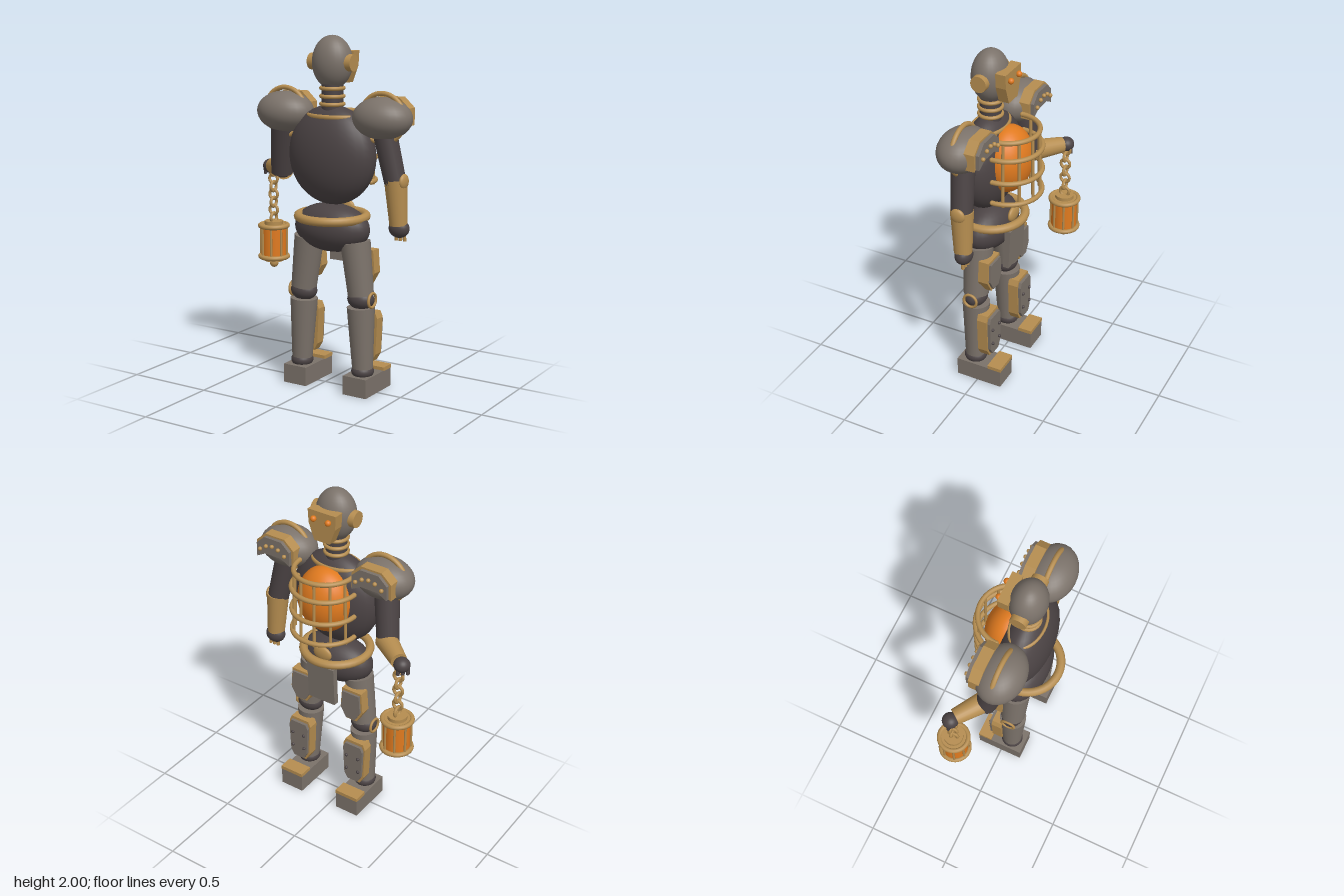
import * as THREE from 'three';

const mat = (name, color) => Object.assign(new THREE.MeshStandardMaterial({ color }), { name });

export function createModel() {
  const root = new THREE.Group();
  root.name = 'lanternAutomaton';
  const gold = mat('brass', 0xb58d50), grey = mat('steel', 0x7b726a);
  const dark = mat('darkIron', 0x4b4344), orange = mat('glow', 0xe07a1f);
  const CX = 0.075, CZ = 0.045; // body axis

  const add = (name, geo, m, x = 0, y = 0, z = 0) => {
    const mesh = new THREE.Mesh(geo, m);
    mesh.name = name;
    mesh.position.set(x, y, z);
    root.add(mesh);
    return mesh;
  };
  const ball = (name, m, x, y, z, rx, ry = rx, rz = rx) =>
    add(name, new THREE.SphereGeometry(1, 28, 20).scale(rx, ry, rz), m, x, y, z);
  const box = (name, m, x, y, z, w, h, d) => add(name, new THREE.BoxGeometry(w, h, d), m, x, y, z);
  // tapered cylinder between two points
  const rod = (name, m, a, b, ra, rb = ra, seg = 24) => {
    const A = new THREE.Vector3(...a), B = new THREE.Vector3(...b);
    const dir = B.clone().sub(A);
    const mesh = add(name, new THREE.CylinderGeometry(rb, ra, dir.length(), seg), m);
    mesh.position.copy(A).add(B).multiplyScalar(0.5);
    mesh.quaternion.setFromUnitVectors(new THREE.Vector3(0, 1, 0), dir.normalize());
    return mesh;
  };
  // horizontal ring; a half arc curves toward -z
  const ring = (name, m, x, y, z, R, t, arc = Math.PI * 2) =>
    add(name, new THREE.TorusGeometry(R, t, 10, 40, arc).rotateX(-Math.PI / 2), m, x, y, z);
  // flat outline extruded from z0 (front) to z1 (back)
  const plate = (name, m, pts, x, y, z0, z1, k = 1) => {
    const shape = new THREE.Shape(pts.map(([px, py]) => new THREE.Vector2(px * k, py * k)));
    return add(name, new THREE.ExtrudeGeometry(shape, { depth: z1 - z0, bevelEnabled: false }), m, x, y, z0);
  };

  // head
  ball('head', grey, CX, 1.853, CZ, 0.117, 0.147, 0.1);
  plate('facePlate', gold, [[-0.09, 0.09], [-0.085, 0.01], [-0.05, -0.085], [0.05, -0.085], [0.085, 0.01], [0.09, 0.09]],
    CX, 1.822, -0.09, -0.03);
  for (const s of [-1, 1]) {
    ball('eye', orange, CX + s * 0.047, 1.868, -0.1, 0.017);
    rod('earDisc', gold, [CX + s * 0.1, 1.853, CZ], [CX + s * 0.138, 1.853, CZ], 0.048, 0.046);
  }

  // neck and collar
  rod('neck', dark, [CX, 1.56, CZ], [CX, 1.74, CZ], 0.06);
  for (const y of [1.625, 1.668, 1.712]) ring('neckRing', gold, CX, y, CZ, 0.062, 0.011);
  ring('collar', gold, CX, 1.56, CZ, 0.145, 0.013).scale.z = 0.62;

  // torso, glowing core and cage
  ball('torso', dark, CX, 1.343, CZ, 0.272, 0.278, 0.142);
  ball('core', orange, CX, 1.375, -0.06, 0.165, 0.195, 0.135);
  for (const [y, R] of [[1.56, 0.172], [1.458, 0.187], [1.32, 0.187], [1.19, 0.187]]) {
    ring('cageRing', gold, CX, y, -0.06, R, 0.014, Math.PI);
    for (const s of [-1, 1]) ball('cageRingEnd', gold, CX + s * R, y, -0.06, 0.014);
  }
  for (let i = 0; i < 6; i++) {
    const a = Math.PI * (0.1 + 0.16 * i), c = Math.cos(a), s = Math.sin(a);
    rod('cageBar', gold, [CX + 0.18 * c, 1.17, -0.06 - 0.18 * s], [CX + 0.172 * c, 1.57, -0.06 - 0.172 * s], 0.009, 0.009, 10);
  }

  // hips
  ball('hips', dark, CX, 0.935, CZ, 0.235, 0.138, 0.132);
  ring('belt', gold, CX, 1.0, CZ, 0.19, 0.025);
  ball('buckle', gold, CX, 1.03, -0.095, 0.06, 0.045, 0.02);
  const flap = plate('hipFlap', grey, [[-0.09, 0.12], [-0.09, -0.125], [0.09, -0.125], [0.09, 0.12]],
    CX, 0.838, -0.115, -0.08);
  flap.rotation.x = -0.05;

  // legs
  const thighOutline = [[-0.065, 0.1], [-0.075, -0.03], [-0.035, -0.1], [0.035, -0.1], [0.075, -0.03], [0.065, 0.1]];
  const shinOutline = [[-0.06, 0.145], [-0.075, 0.11], [-0.065, -0.1], [-0.04, -0.145],
    [0.04, -0.145], [0.065, -0.1], [0.075, 0.11], [0.06, 0.145]];
  for (const s of [-1, 1]) {
    const X = d => CX + s * d;
    rod('thigh', grey, [X(0.152), 0.87, CZ], [X(0.19), 0.57, CZ], 0.085, 0.073);
    plate('thighGuardTrim', gold, thighOutline, X(0.175), 0.72, -0.062, 0);
    plate('thighGuard', grey, thighOutline, X(0.175), 0.72, -0.075, -0.062, 0.86);
    ball('knee', dark, X(0.19), 0.545, CZ, 0.08, 0.058, 0.065);
    add('kneeRing', new THREE.TorusGeometry(0.04, 0.008, 8, 28).rotateY(Math.PI / 2), gold, X(0.263), 0.548, CZ);
    rod('shin', grey, [X(0.19), 0.5, CZ], [X(0.204), 0.13, CZ], 0.079, 0.058);
    plate('shinGuardTrim', gold, shinOutline, X(0.195), 0.32, -0.062, 0);
    plate('shinGuard', grey, shinOutline, X(0.195), 0.32, -0.08, -0.062, 0.88);
    for (const dx of [-0.04, 0.04]) for (const y of [0.27, 0.365])
      ball('shinRivet', dark, X(0.195) + dx, y, -0.083, 0.01);
    ball('ankle', dark, X(0.204), 0.13, CZ, 0.064, 0.045, 0.066);
    box('foot', grey, X(0.2), 0.055, -0.01, 0.15, 0.11, 0.28);
    box('toeCap', gold, X(0.2), 0.118, -0.11, 0.152, 0.022, 0.085);
  }

  // shoulders
  const padOutline = [[-0.125, -0.06], [-0.125, 0.035], [-0.065, 0.09], [0.065, 0.09],
    [0.125, 0.035], [0.125, -0.06], [0.06, -0.025], [-0.06, -0.025]].reverse();
  for (const s of [-1, 1]) {
    const x = CX + s * 0.315;
    ball('shoulder', grey, x, 1.565, 0.04, 0.173, 0.115, 0.133);
    add('shoulderRing', new THREE.TorusGeometry(0.134, 0.014, 10, 40), gold, x, 1.565, 0.04);
    plate('shoulderTrim', gold, padOutline, x, 1.583, -0.092, -0.03);
    plate('shoulderPlate', grey, padOutline, x, 1.583, -0.112, -0.092, 0.88);
    for (let i = -2; i <= 2; i++)
      ball('shoulderRivet', gold, x + i * 0.041, 1.622 - 0.009 * i * i, -0.12, 0.012);
  }

  // hanging arm
  rod('upperArm', dark, [0.4, 1.5, 0.035], [0.465, 1.2, 0.015], 0.066, 0.06);
  rod('forearm', gold, [0.462, 1.235, 0.015], [0.477, 0.985, 0.005], 0.064, 0.05);
  ball('elbowCap', gold, 0.512, 1.228, 0.015, 0.02, 0.043, 0.043);
  ball('hand', dark, 0.478, 0.965, 0, 0.06, 0.052, 0.048);
  for (let i = -1; i <= 1; i++)
    rod('finger', gold, [0.48 + i * 0.026, 0.95, -0.005], [0.482 + i * 0.026, 0.895, -0.01], 0.011, 0.01, 10);

  // lantern arm, bent forward
  const lx = -0.468, lz = -0.16;
  rod('upperArm', dark, [-0.26, 1.5, 0.035], [-0.312, 1.2, -0.025], 0.07, 0.062);
  ball('elbow', dark, -0.31, 1.22, -0.025, 0.058, 0.052, 0.058);
  rod('forearm', gold, [-0.295, 1.222, -0.02], [-0.455, 1.21, -0.14], 0.062, 0.046);
  ball('hand', dark, -0.483, 1.205, -0.155, 0.046, 0.042, 0.046);
  for (let i = -1; i <= 1; i++)
    rod('finger', dark, [-0.495 + i * 0.02, 1.2, -0.165 - i * 0.018], [-0.5 + i * 0.02, 1.155, -0.17 - i * 0.018], 0.012, 0.01, 10);

  // chain
  for (let i = 0; i < 7; i++)
    add('chainLink', new THREE.TorusGeometry(0.028, 0.009, 8, 24).rotateY(i % 2 ? 0 : Math.PI / 2),
      gold, lx, 1.175 - 0.047 * i, lz);

  // lantern
  rod('lanternGlass', orange, [lx, 0.66, lz], [lx, 0.84, lz], 0.076);
  for (const [y, out] of [[0.845, 0.866], [0.657, 0.637]]) {
    ring('lanternRing', gold, lx, y, lz, 0.082, 0.014);
    rod('lanternPlate', gold, [lx, y - 0.008, lz], [lx, y + 0.008, lz], 0.08);
    rod('lanternCap', gold, [lx, Math.min(y, out) - 0.008, lz], [lx, Math.max(y, out) + 0.008, lz], 0.055);
  }
  ball('lanternFinial', gold, lx, 0.615, lz, 0.026);
  for (let i = 0; i < 8; i++) {
    const a = (i + 0.5) * Math.PI / 4, x = lx + 0.079 * Math.cos(a), z = lz + 0.079 * Math.sin(a);
    rod('lanternBar', gold, [x, 0.65, z], [x, 0.85, z], 0.007, 0.007, 8);
  }
  return root;
}
